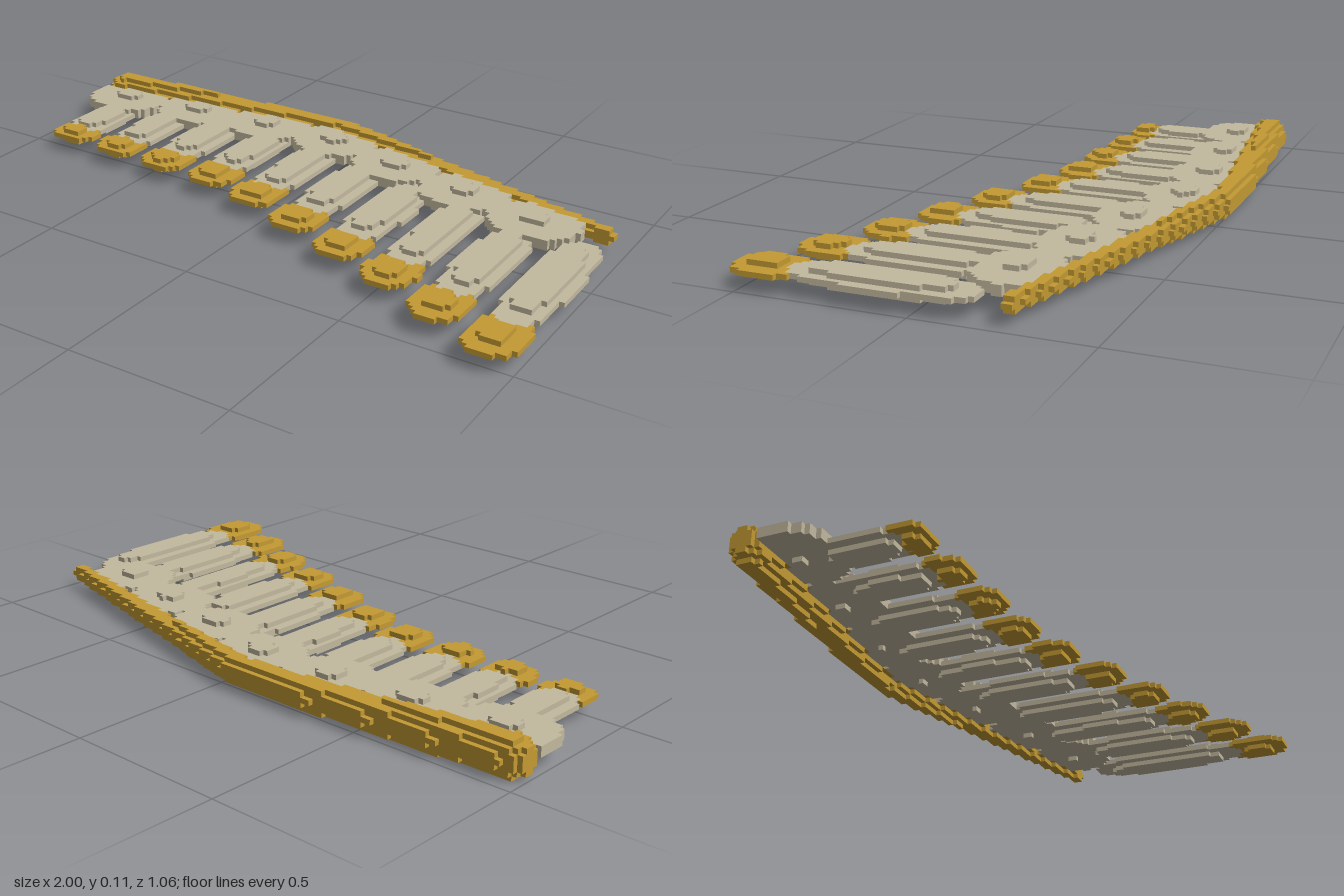
import * as THREE from 'three';

// Block grid: 130 x 7 x 69 cells of size V
const V = 2 / 130, NX = 130, NY = 7, NZ = 69, MID = 3;

const gold = new THREE.MeshStandardMaterial({ color: 0xc49a33 });
gold.name = 'gold';
const bone = new THREE.MeshStandardMaterial({ color: 0xc3b99f });
bone.name = 'bone';

const oval = (x, z, cx, cz, rx, rz, p = 2) =>
  Math.abs((x - cx) / rx) ** p + Math.abs((z - cz) / rz) ** p <= 1;

// Each part is a name, a material and a rule telling which cells it fills.
// Earlier parts win where two overlap.
const parts = [];
const add = (name, material, inside) => parts.push({ name, material, inside, cells: [] });

// Leading edge: a tapering rod along a bent path
const PATH = [[-0.95, -0.425], [-0.2, -0.497], [-0.08, -0.5], [0.4, -0.387], [0.95, -0.25]];
function pathDistance(x, z) {
  let best = Infinity;
  for (let i = 1; i < PATH.length; i++) {
    const [ax, az] = PATH[i - 1], [bx, bz] = PATH[i];
    const dx = bx - ax, dz = bz - az;
    const t = THREE.MathUtils.clamp(((x - ax) * dx + (z - az) * dz) / (dx * dx + dz * dz), 0, 1);
    best = Math.min(best, Math.hypot(x - ax - t * dx, z - az - t * dz));
  }
  return best;
}
add('leadingEdge', gold, (x, z, k) =>
  Math.hypot(pathDistance(x, z), k * V) <= 0.036 - 0.0178 * x);

// Covert scales: flat ovals with a raised boss and a small bump below
const COVERTS = [[-0.86, -0.33], [-0.585, -0.36], [-0.315, -0.385], [-0.05, -0.385],
  [0.215, -0.32], [0.485, -0.26], [0.745, -0.19]];
COVERTS.forEach(([cx, cz], i) => add('covert' + (i + 1), bone, (x, z, k) => {
  if (k === 0 || k === 1) return oval(x, z, cx, cz, 0.14, 0.113, 2.3);
  if (k === 2) return oval(x, z, cx, cz, 0.045, 0.034);
  return k === -1 && oval(x, z, cx, cz, 0.014, 0.014);
}));

// Long feathers: [root z, tip z, length of gold tip]
const FEATHERS = [[-0.28, 0.04, 0.11], [-0.32, 0.055, 0.13], [-0.38, 0.07, 0.145],
  [-0.39, 0.08, 0.155], [-0.36, 0.13, 0.155], [-0.32, 0.205, 0.155], [-0.27, 0.285, 0.16],
  [-0.23, 0.355, 0.165], [-0.15, 0.445, 0.18], [-0.16, 0.528, 0.2]];
FEATHERS.forEach(([root, tip, len], i) => {
  const cx = -0.835 + i * 0.195;
  const end = tip - len + 0.045;
  const cz = (root + end) / 2, half = (end - root) / 2;
  // Vane with a ridge above and below
  add('feather' + (i + 1), bone, (x, z, k) => {
    if (k === 0) return oval(x, z, cx, cz, 0.073, half, 3);
    return Math.abs(k) === 1 && oval(x, z, cx, cz, 0.046, half * 0.75, 3);
  });
  // Rounded gold tip with a small pip above and below
  const tz = tip - len / 2;
  add('featherTip' + (i + 1), gold, (x, z, k) => {
    if (k === 0) return oval(x, z, cx, tz, 0.078, len / 2 + 0.004, 2.4);
    return Math.abs(k) === 1 && oval(x, z, cx, tz + 0.012, 0.04, len * 0.26, 2.4);
  });
});

// Outer faces of a part's cells as one geometry
function blockGeometry(cells, filled) {
  const position = [], normal = [], index = [];
  for (const cell of cells) {
    for (let a = 0; a < 3; a++) {
      for (const s of [-1, 1]) {
        const next = [...cell];
        next[a] += s;
        if (filled.has(next.join())) continue;
        const b = (a + 1) % 3, c = (a + 2) % 3, n = position.length / 3;
        for (const [u, w] of [[0, 0], [1, 0], [1, 1], [0, 1]]) {
          const p = [...cell];
          if (s > 0) p[a] += 1;
          p[b] += u;
          p[c] += w;
          position.push((p[0] - NX / 2) * V, p[1] * V, (p[2] - NZ / 2) * V);
          const dir = [0, 0, 0];
          dir[a] = s;
          normal.push(...dir);
        }
        if (s > 0) index.push(n, n + 1, n + 2, n, n + 2, n + 3);
        else index.push(n, n + 2, n + 1, n, n + 3, n + 2);
      }
    }
  }
  const geometry = new THREE.BufferGeometry();
  geometry.setAttribute('position', new THREE.Float32BufferAttribute(position, 3));
  geometry.setAttribute('normal', new THREE.Float32BufferAttribute(normal, 3));
  geometry.setIndex(index);
  return geometry;
}

export function createModel() {
  const group = new THREE.Group();
  group.name = 'wing';
  const filled = new Set();
  parts.forEach((part) => { part.cells = []; });

  // Give every cell to the first part that claims it
  for (let i = 0; i < NX; i++) {
    for (let j = 0; j < NY; j++) {
      for (let l = 0; l < NZ; l++) {
        const x = (i + 0.5 - NX / 2) * V, z = (l + 0.5 - NZ / 2) * V;
        const owner = parts.find((part) => part.inside(x, z, j - MID));
        if (!owner) continue;
        owner.cells.push([i, j, l]);
        filled.add([i, j, l].join());
      }
    }
  }

  for (const { name, material, cells } of parts) {
    const mesh = new THREE.Mesh(blockGeometry(cells, filled), material);
    mesh.name = name;
    group.add(mesh);
  }
  return group;
}
